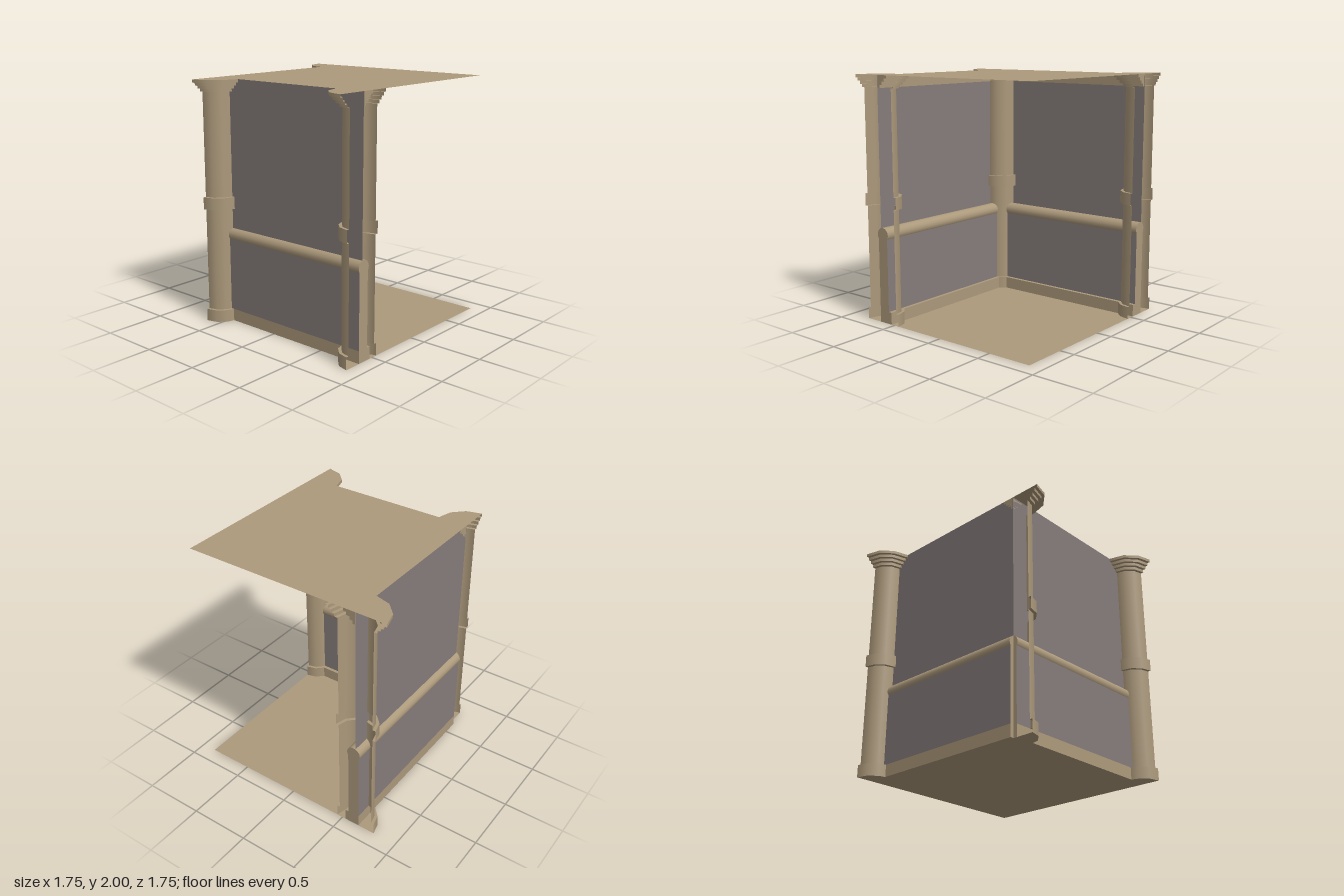
import * as THREE from 'three';
import { mergeGeometries } from 'three/addons/utils/BufferGeometryUtils.js';

const IN = -0.625, OUT = 0.875, LEN = OUT - IN; // wall line, open edge, wall length

export function createModel() {
  const stone = new THREE.MeshStandardMaterial({ color: 0xac997b, side: THREE.DoubleSide });
  stone.name = 'tan stone';
  const panel = new THREE.MeshStandardMaterial({ color: 0x857c7a, side: THREE.DoubleSide });
  panel.name = 'grey panel';

  const model = new THREE.Group();
  const add = (parent, name, geometry, material, x = 0, y = 0, z = 0) => {
    const mesh = new THREE.Mesh(geometry, material);
    mesh.name = name;
    mesh.position.set(x, y, z);
    parent.add(mesh);
    return mesh;
  };

  // Floor and ceiling: a square with quarter discs under and over the columns
  const slab = (r) => {
    const pts = [];
    const arc = (cx, cz, start) => {
      for (let i = 0; i <= 3; i++) {
        const a = start + (i * Math.PI) / 6;
        pts.push(new THREE.Vector2(cx + r * Math.cos(a), cz + r * Math.sin(a)));
      }
    };
    arc(OUT, IN, Math.PI);
    pts.push(new THREE.Vector2(OUT, OUT));
    arc(IN, OUT, Math.PI);
    arc(IN, IN, Math.PI / 2);
    return new THREE.ShapeGeometry(new THREE.Shape(pts)).rotateX(Math.PI / 2);
  };
  add(model, 'floor', slab(0.175), stone);
  add(model, 'ceiling', slab(0.25), stone, 0, 2);

  // Half columns: base, shaft, middle band and stepped capital, with crisp rims
  const profile = [[0.175, 0], [0.175, 0.1], [0.15, 0.1], [0.15, 0.95], [0.175, 0.95],
    [0.175, 1.05], [0.15, 1.05], [0.15, 1.9]];
  for (let i = 0; i < 4; i++) {
    const r = 0.175 + i * 0.025, y = 1.9 + i * 0.025;
    profile.push([r, y], [r, y + 0.025]);
  }
  const halfColumn = (start) => mergeGeometries(profile.slice(1).map((p, i) =>
    new THREE.LatheGeometry([new THREE.Vector2(...profile[i]), new THREE.Vector2(...p)], 6, start, Math.PI)));
  add(model, 'cornerColumn', halfColumn(-Math.PI / 2), stone, IN, 0, IN);
  add(model, 'frontColumn', halfColumn(Math.PI / 2), stone, IN, 0, OUT);
  add(model, 'sideColumn', halfColumn(Math.PI), stone, OUT, 0, IN);

  // Walls: local +z points into the room
  const wall = (name) => {
    const g = new THREE.Group();
    g.name = name;
    add(g, 'upperPanel', new THREE.PlaneGeometry(LEN, 1.27), panel, 0, 1.365, 0);
    add(g, 'lowerPanel', new THREE.BoxGeometry(LEN, 0.63, 0.095),
      [stone, stone, stone, stone, panel, panel], 0, 0.415, 0.0175);
    add(g, 'skirting', new THREE.BoxGeometry(LEN, 0.1, 0.125), stone, 0, 0.05, 0.0325);
    add(g, 'rail', new THREE.CylinderGeometry(0.058, 0.058, LEN, 16).rotateZ(Math.PI / 2),
      stone, 0, 0.732, 0.0175);
    // Stepped cornice
    for (let i = 0; i < 4; i++) {
      const depth = 0.025 * (i + 1) - 0.005;
      add(g, 'corniceStep', new THREE.BoxGeometry(LEN, 0.025, depth), stone,
        0, 1.9125 + i * 0.025, 0.005 + depth / 2);
    }
    model.add(g);
    return g;
  };
  wall('backWall').position.set(IN + LEN / 2, 0, IN);
  const side = wall('sideWall');
  side.position.set(IN, 0, IN + LEN / 2);
  side.rotation.y = Math.PI / 2;

  return model;
}
